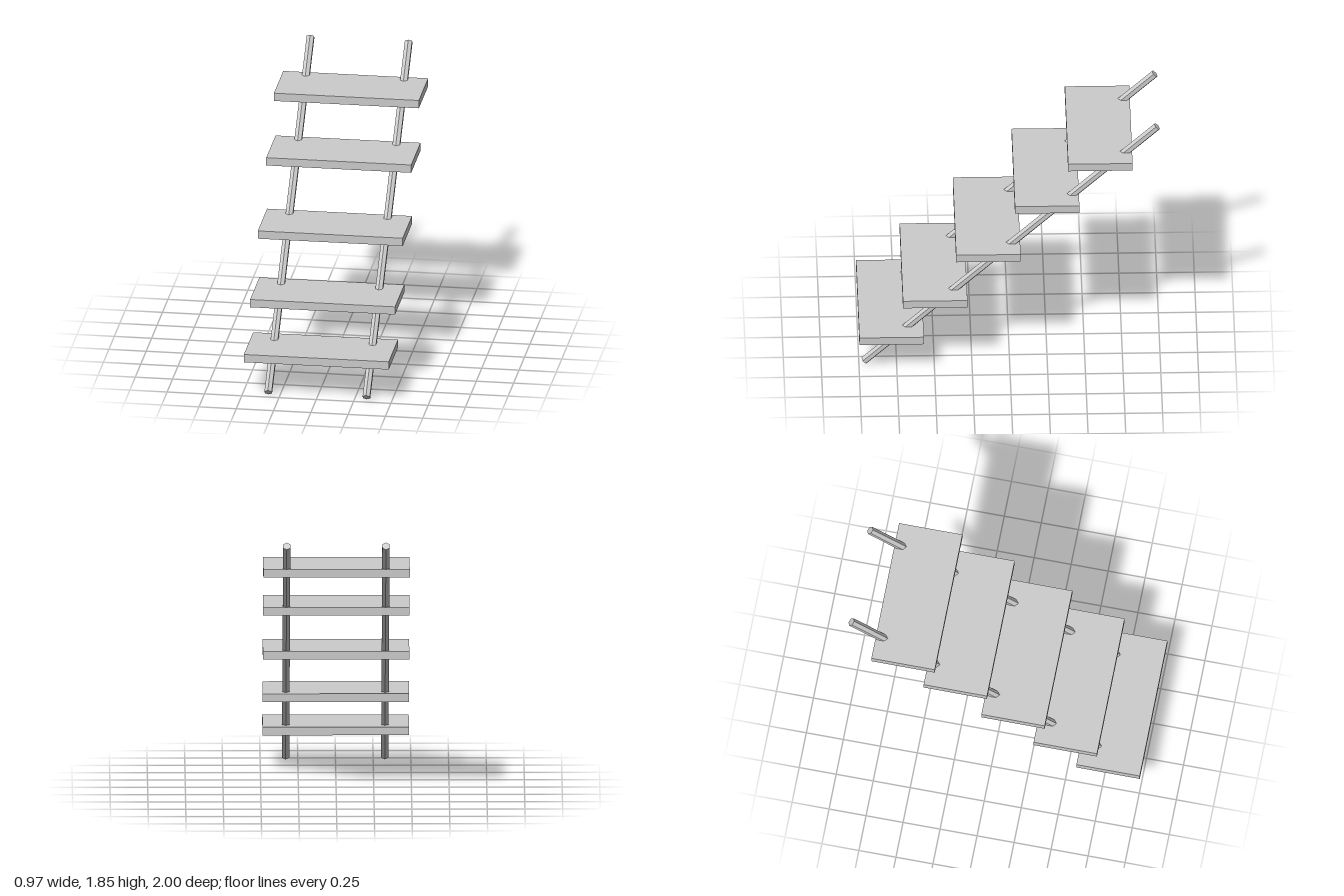
import * as THREE from 'three';

export function createModel() {
  const model = new THREE.Group();
  model.name = 'openStaircase';
  const material = new THREE.MeshStandardMaterial({ color: 0xcccccc, flatShading: true });

  // Two slanted hexagonal rails, with an edge facing up and down the slope
  const bottom = new THREE.Vector2(0.965, 0.021); // z, y
  const top = new THREE.Vector2(-0.979, 1.825);
  const slope = top.clone().sub(bottom);
  const railGeometry = new THREE.CylinderGeometry(0.028, 0.028, slope.length(), 6);
  for (const [name, x] of [['leftRail', 0.331], ['rightRail', -0.327]]) {
    const rail = new THREE.Mesh(railGeometry, material);
    rail.name = name;
    rail.position.set(x, (bottom.y + top.y) / 2, (bottom.x + top.x) / 2);
    rail.rotation.x = Math.atan2(slope.x, slope.y);
    model.add(rail);
  }

  // Flat treads pierced by the rails: [y, z] of each centre
  const treadGeometry = new THREE.BoxGeometry(0.972, 0.055, 0.428);
  const treads = [[0.266, 0.786], [0.549, 0.497], [0.905, 0.144], [1.28, -0.246], [1.607, -0.599]];
  treads.forEach(([y, z], i) => {
    const tread = new THREE.Mesh(treadGeometry, material);
    tread.name = `tread${i + 1}`;
    tread.position.set(0, y, z);
    model.add(tread);
  });

  return model;
}
